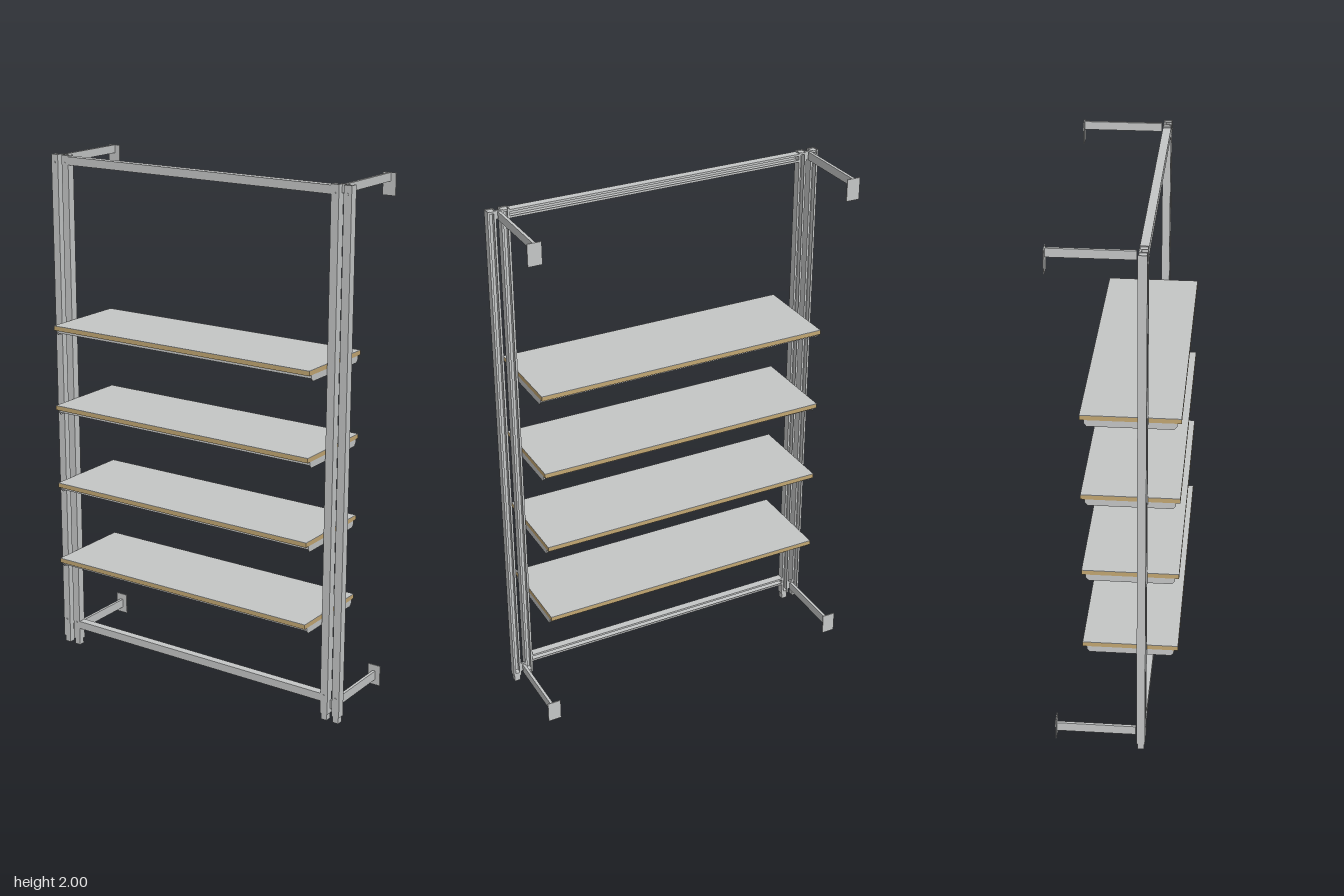
import * as THREE from 'three';

export function createModel() {
  const model = new THREE.Group();
  model.name = 'wallShelfUnit';

  const material = (name, color) => {
    const m = new THREE.MeshStandardMaterial({ color });
    m.name = name;
    return m;
  };
  const metal = material('brushed metal', 0xc6c8c8);
  const laminate = material('grey laminate', 0xc6c8c7);
  const wood = material('wood core', 0xc4a873);

  const add = (parent, name, geometry, mat) => {
    const mesh = new THREE.Mesh(geometry, mat);
    mesh.name = name;
    parent.add(mesh);
    return mesh;
  };
  // Box given by its lowest and highest corners
  const box = (parent, name, [x0, y0, z0], [x1, y1, z1], mat = metal) => {
    const mesh = add(parent, name, new THREE.BoxGeometry(x1 - x0, y1 - y0, z1 - z0), mat);
    mesh.position.set((x0 + x1) / 2, (y0 + y1) / 2, (z0 + z1) / 2);
    return mesh;
  };

  // Lipped channel section, 0.031 square, with its slot towards +v
  const h = 0.0155, t = 0.003, lip = 0.008;
  const channel = new THREE.Shape([
    [-h, -h], [h, -h], [h, h], [h - lip, h], [h - lip, h - t], [h - t, h - t],
    [h - t, -h + t], [-h + t, -h + t], [-h + t, h - t], [-h + lip, h - t], [-h + lip, h], [-h, h],
  ].map(([u, v]) => new THREE.Vector2(u, v)));
  const channelGeometry = (length) =>
    new THREE.ExtrudeGeometry(channel, { depth: length, bevelEnabled: false });

  const postZ = 0.096;

  // Paired posts with feet, end caps and bolts
  const postGeometry = channelGeometry(1.975).rotateX(-Math.PI / 2);
  const boltGeometry = new THREE.CylinderGeometry(0.004, 0.004, 0.003, 10).rotateX(Math.PI / 2);
  for (const x of [-0.638, -0.588, 0.588, 0.638]) {
    const post = new THREE.Group();
    post.name = 'post';
    post.position.set(x, 0, postZ);
    model.add(post);
    add(post, 'postChannel', postGeometry, metal).position.y = 0.025;
    box(post, 'foot', [-0.012, 0, -0.012], [0.012, 0.035, 0.012]);
    box(post, 'endCap', [-0.0124, 1.99, -0.0124], [0.0124, 1.997, 0.0124]);
    for (const y of [0.1, 1.97]) add(post, 'bolt', boltGeometry, metal).position.set(0, y, 0.0165);
  }

  // Top and bottom rails, slot facing the back
  const railGeometry = channelGeometry(1.146).rotateX(-Math.PI / 2).rotateZ(Math.PI / 2);
  for (const y of [0.09, 1.98]) {
    add(model, 'crossRail', railGeometry, metal).position.set(0.573, y, postZ);
  }

  // Wall arms with mounting plates
  for (const side of [-1, 1]) {
    const x = side * 0.613;
    for (const [y0, y1, p0, p1] of [[0.042, 0.078, 0.02, 0.102], [1.969, 2, 1.918, 2]]) {
      box(model, 'wallArm', [x - 0.0055, y0, -0.221], [x + 0.0055, y1, 0.075]);
      box(model, 'wallPlate', [x - 0.026, p0, -0.225], [x + 0.026, p1, -0.221]);
      // Spacer joining the paired posts
      box(model, 'postSpacer', [x - 0.01, y0, 0.082], [x + 0.01, y1, 0.09]);
    }
  }

  // Shelves: wood board, laminate top and metal frame below
  const w = 0.569, back = -0.125, front = 0.225;
  for (const top of [0.421, 0.737, 1.053, 1.369]) {
    const shelf = new THREE.Group();
    shelf.name = 'shelf';
    shelf.position.y = top;
    model.add(shelf);
    box(shelf, 'board', [-w, -0.018, back], [w, -0.002, front], wood);
    box(shelf, 'laminateTop', [-w, -0.002, back], [w, 0, front], laminate);
    // Long angle rails under the front and back edges
    for (const [z, dir] of [[back + 0.02, 1], [front - 0.02, -1]]) {
      box(shelf, 'edgeRail', [-w + 0.004, -0.032, z - 0.0015], [w - 0.004, -0.018, z + 0.0015]);
      const z1 = z + dir * 0.014;
      box(shelf, 'edgeFlange', [-w + 0.004, -0.021, Math.min(z, z1)], [w - 0.004, -0.018, Math.max(z, z1)]);
    }
    // End brackets with tapered lower corners
    const profile = new THREE.Shape([
      [-0.11, 0], [0.21, 0], [0.21, -0.012], [0.2, -0.024], [-0.1, -0.024], [-0.11, -0.012],
    ].map(([z, y]) => new THREE.Vector2(-z, y)));
    const bracket = new THREE.ExtrudeGeometry(profile, { depth: 0.004, bevelEnabled: false })
      .rotateY(Math.PI / 2);
    for (const x of [-w, w - 0.004]) {
      add(shelf, 'endBracket', bracket, metal).position.set(x, -0.018, 0);
      const inner = x < 0 ? [x, x + 0.016] : [x - 0.012, x + 0.004];
      box(shelf, 'endFlange', [inner[0], -0.021, -0.1], [inner[1], -0.018, 0.2]);
    }
  }

  return model;
}
